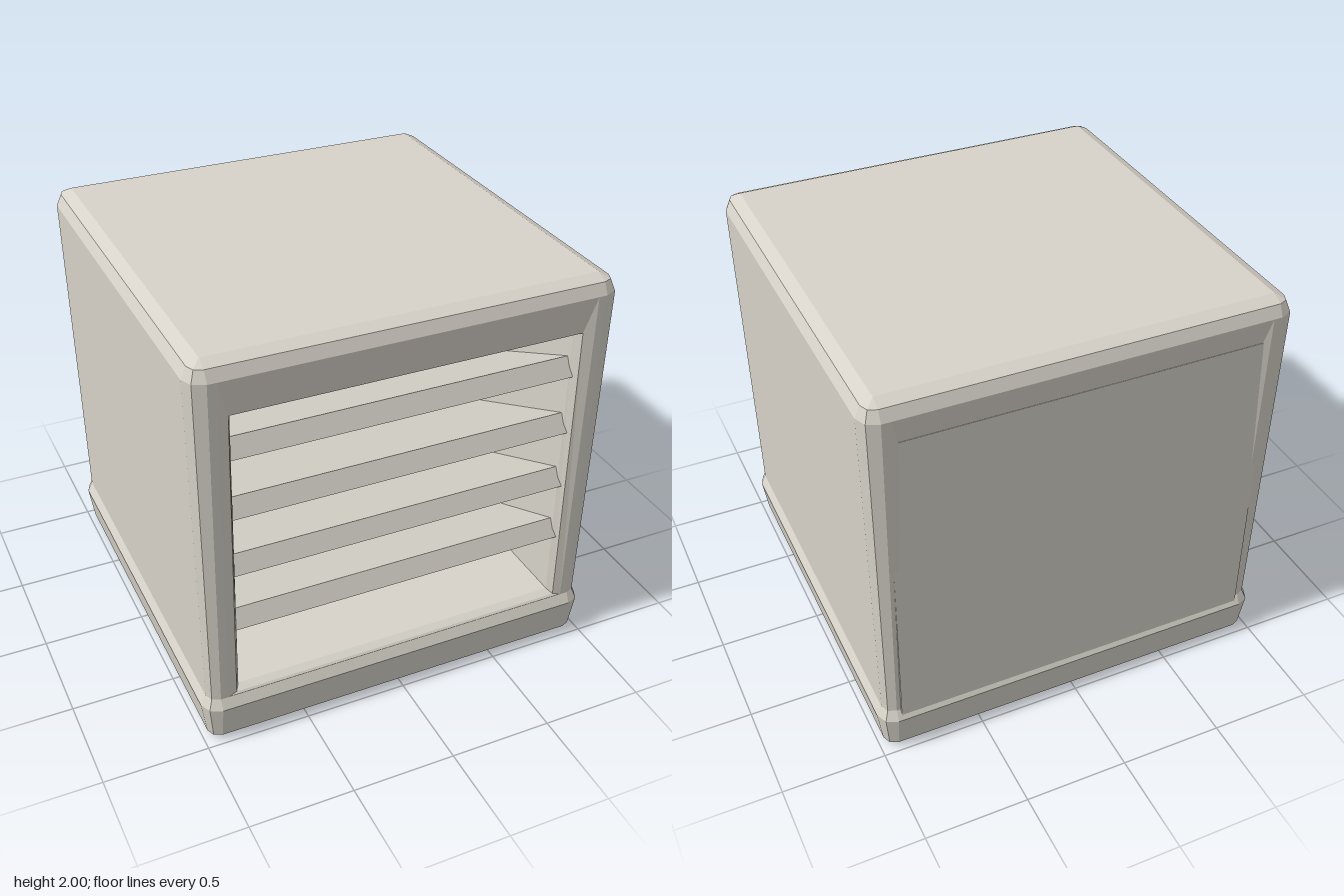
import * as THREE from 'three';

// Non-indexed, faceted geometry from a list of polygons
function facets(polys) {
  const pos = [];
  for (const p of polys) {
    for (let i = 1; i < p.length - 1; i++) pos.push(...p[0], ...p[i], ...p[i + 1]);
  }
  const g = new THREE.BufferGeometry();
  g.setAttribute('position', new THREE.Float32BufferAttribute(pos, 3));
  g.computeVertexNormals();
  return g;
}

// Square cross-section of half width h at height y; the corner bevel closes to a point at h = 0.92
function section(h, y) {
  const cut = h - 0.92;
  const mid = h - cut * 0.3;
  const pts = [];
  for (let k = 0; k < 4; k++) {
    for (let [x, z] of [[-0.92, h], [0.92, h], [mid, mid]]) {
      for (let r = 0; r < k; r++) [x, z] = [z, -x];
      pts.push([x, y, z]);
    }
  }
  return pts;
}

// Four corners of an upright trapezoid, lower and upper edge with their own x and z
function rect(y0, x0, z0, y1, x1, z1) {
  return [[-x0, y0, z0], [x0, y0, z0], [x1, y1, z1], [-x1, y1, z1]];
}

// Join nested loops from outer to inner
function loft(loops, polys, skip = () => false) {
  for (let r = 0; r < loops.length - 1; r++) {
    const a = loops[r], b = loops[r + 1], n = a.length;
    for (let i = 0; i < n; i++) {
      const j = (i + 1) % n;
      if (!skip(r, i)) polys.push([a[i], a[j], b[j], b[i]]);
    }
  }
}

export function createModel() {
  const model = new THREE.Group();
  const mat = new THREE.MeshStandardMaterial({ color: 0xd7d3c9 });
  mat.name = 'warm grey';
  const add = (geo, name) => {
    const m = new THREE.Mesh(geo, mat);
    m.name = name;
    model.add(m);
    return m;
  };

  // Casing: flared plinth, slightly widening walls, bevelled top; open at front and back
  const rings = [[0.92, 0], [0.975, 0.03], [1, 0.2], [0.975, 0.25], [1, 1.92], [0.975, 1.975], [0.92, 2]]
    .map(([h, y]) => section(h, y));
  const shell = [];
  loft(rings, shell, (r, i) => r === 3 && (i === 0 || i === 6));
  shell.push(rings[6], [...rings[0]].reverse());
  add(facets(shell), 'casing');

  // Shallow sloped surround shared by front and back
  const surround = [
    rect(0.25, 0.92, 0.975, 1.92, 0.92, 1),
    rect(0.252, 0.88, 0.975, 1.918, 0.88, 1),
    rect(0.262, 0.84, 0.967, 1.745, 0.83, 0.98),
  ];

  // Front surround and the hollow interior
  const front = [];
  const hollow = [
    ...surround,
    rect(0.28, 0.82, 0.935, 1.72, 0.81, 0.935),
    rect(0.28, 0.82, -0.6, 1.72, 0.81, -0.6),
  ];
  loft(hollow, front);
  front.push(hollow[hollow.length - 1]);
  add(facets(front), 'frontOpening');

  // Back surround, closed by an upright panel that stands slightly proud near the base
  const back = [];
  loft(surround, back);
  add(facets(back), 'backSurround').rotation.y = Math.PI;
  const panel = new THREE.BoxGeometry(1.8, 1.6, 0.06);
  add(panel, 'backPanel').position.set(0, 1, -0.958);

  // Louvre slats sloping down into the casing; the top one sits behind the lintel
  const tilt = THREE.MathUtils.degToRad(25);
  const slat = new THREE.BoxGeometry(1.66, 0.1, 1.2);
  slat.translate(0, 0.05, -0.6); // origin on the lower front edge
  for (let i = 0; i < 5; i++) {
    const m = add(slat, 'louvreSlat' + (i + 1));
    m.position.set(0, 0.61 + 0.3 * i, 0.955);
    m.rotation.x = -tilt;
  }
  return model;
}
